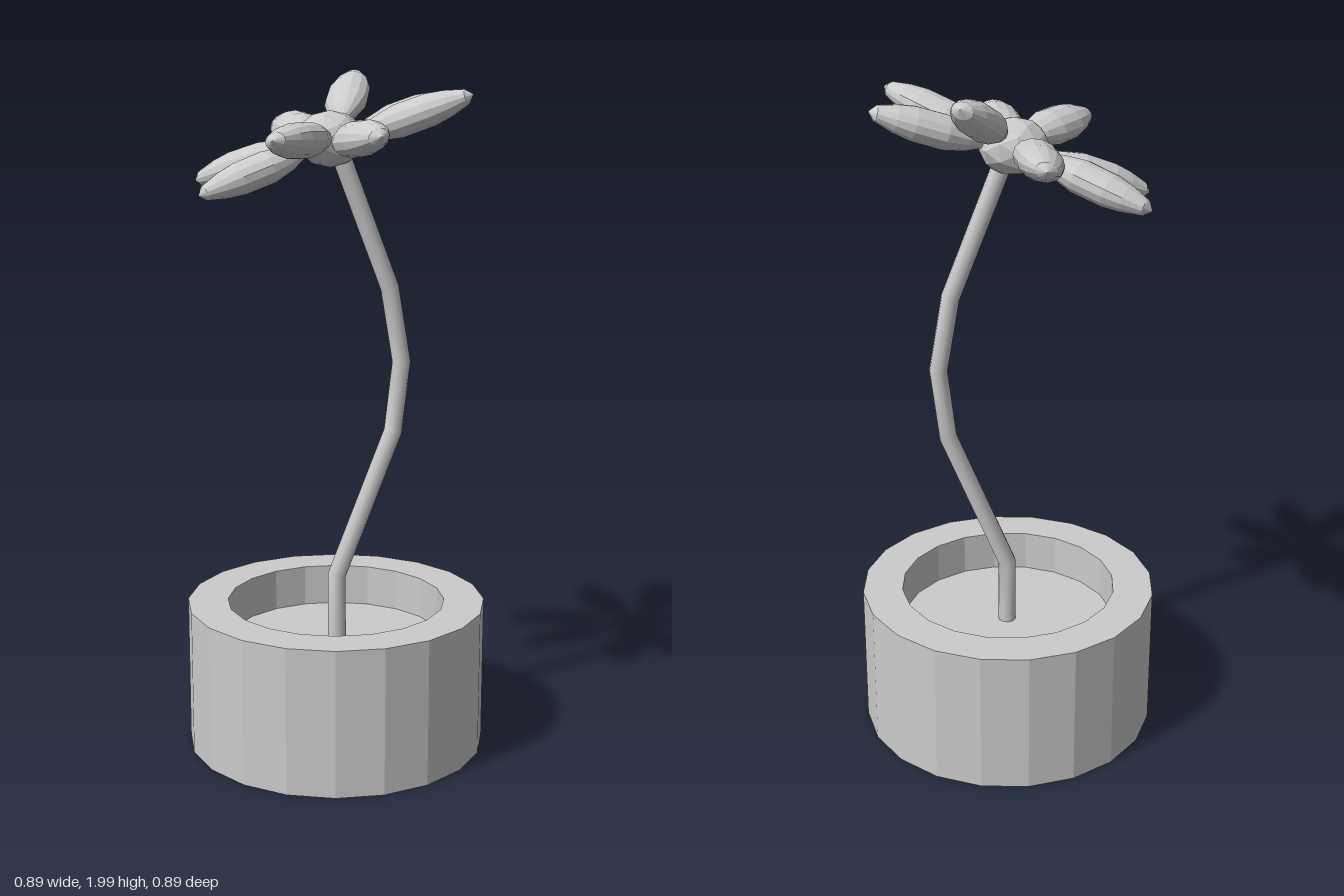
import * as THREE from 'three';

const material = new THREE.MeshStandardMaterial({ color: 0xcccccc, flatShading: true });
const stemMaterial = new THREE.MeshStandardMaterial({ color: 0xcccccc });
const v2 = (p) => new THREE.Vector2(...p);
const v3 = (p) => new THREE.Vector3(...p);

function add(parent, name, geometry, mat = material) {
  const mesh = new THREE.Mesh(geometry, mat);
  mesh.name = name;
  parent.add(mesh);
  return mesh;
}

// Straight-segment path with one tube ring at each bend
class BentPath extends THREE.Curve {
  constructor(points) {
    super();
    this.points = points;
  }
  getPoint(t) {
    const s = Math.min(Math.max(t, 0), 1) * (this.points.length - 1);
    const i = Math.min(Math.floor(s + 1e-9), this.points.length - 2);
    return this.points[i].clone().lerp(this.points[i + 1], s - i);
  }
  getPointAt(t) { return this.getPoint(t); }
  getTangentAt(t) { return this.getTangent(t); }
}

export function createModel() {
  const model = new THREE.Group();
  model.name = 'pottedFlower';

  // Pot: thick wall, sunken soil surface, closed base
  const potProfile = [[0, 0], [0.445, 0], [0.445, 0.435], [0.325, 0.435], [0.325, 0.31], [0, 0.31]];
  add(model, 'pot', new THREE.LatheGeometry(potProfile.map(v2), 20));

  // Stem
  const stemPoints = [
    [0.003, 0.31, 0], [0.003, 0.51, 0], [0.178, 0.94, 0], [0.203, 1.15, 0],
    [0.165, 1.37, 0], [0.02, 1.74, 0], [-0.015, 1.81, 0],
  ].map(v3);
  add(model, 'stem', new THREE.TubeGeometry(new BentPath(stemPoints), stemPoints.length - 1, 0.027, 10), stemMaterial);

  // Flower head, tilted so its +x side is higher
  const flower = new THREE.Group();
  flower.name = 'flower';
  model.add(flower);
  const heart = add(flower, 'flowerCentre', new THREE.IcosahedronGeometry(1, 1));
  heart.position.set(-0.015, 1.8, -0.005);
  heart.scale.set(0.1, 0.08, 0.1);

  // Petals: one faceted spindle stretched from inner end to tip
  const petalProfile = [[0, 0], [0.35, 0.04], [0.72, 0.17], [1, 0.36], [0.98, 0.63], [0.8, 0.78], [0.46, 0.94], [0, 1]];
  const petalGeometry = new THREE.LatheGeometry(petalProfile.map(v2), 14);
  const petals = [
    [[0.06, 1.81, -0.01], [0.38, 1.915, -0.04]],
    [[0.035, 1.85, -0.06], [0.168, 1.98, -0.345]],
    [[-0.05, 1.81, -0.09], [-0.04, 1.835, -0.43]],
    [[-0.08, 1.78, -0.065], [-0.35, 1.675, -0.26]],
    [[-0.09, 1.765, 0], [-0.405, 1.65, 0.018]],
    [[-0.06, 1.80, 0.09], [-0.28, 1.81, 0.33]],
    [[-0.015, 1.80, 0.085], [-0.01, 1.82, 0.415]],
    [[0.045, 1.81, 0.06], [0.32, 1.925, 0.235]],
  ];
  const tilt = new THREE.Vector3(-0.33, 1, 0);
  petals.forEach(([inner, tip], i) => {
    const start = v3(inner);
    const along = v3(tip).sub(start);
    const length = along.length();
    along.normalize();
    const across = along.clone().cross(tilt).normalize();
    const up = across.clone().cross(along);
    const petal = add(flower, `petal${i + 1}`, petalGeometry);
    petal.quaternion.setFromRotationMatrix(new THREE.Matrix4().makeBasis(across, along, up));
    petal.position.copy(start);
    petal.scale.set(0.065, length, 0.048);
  });

  return model;
}
